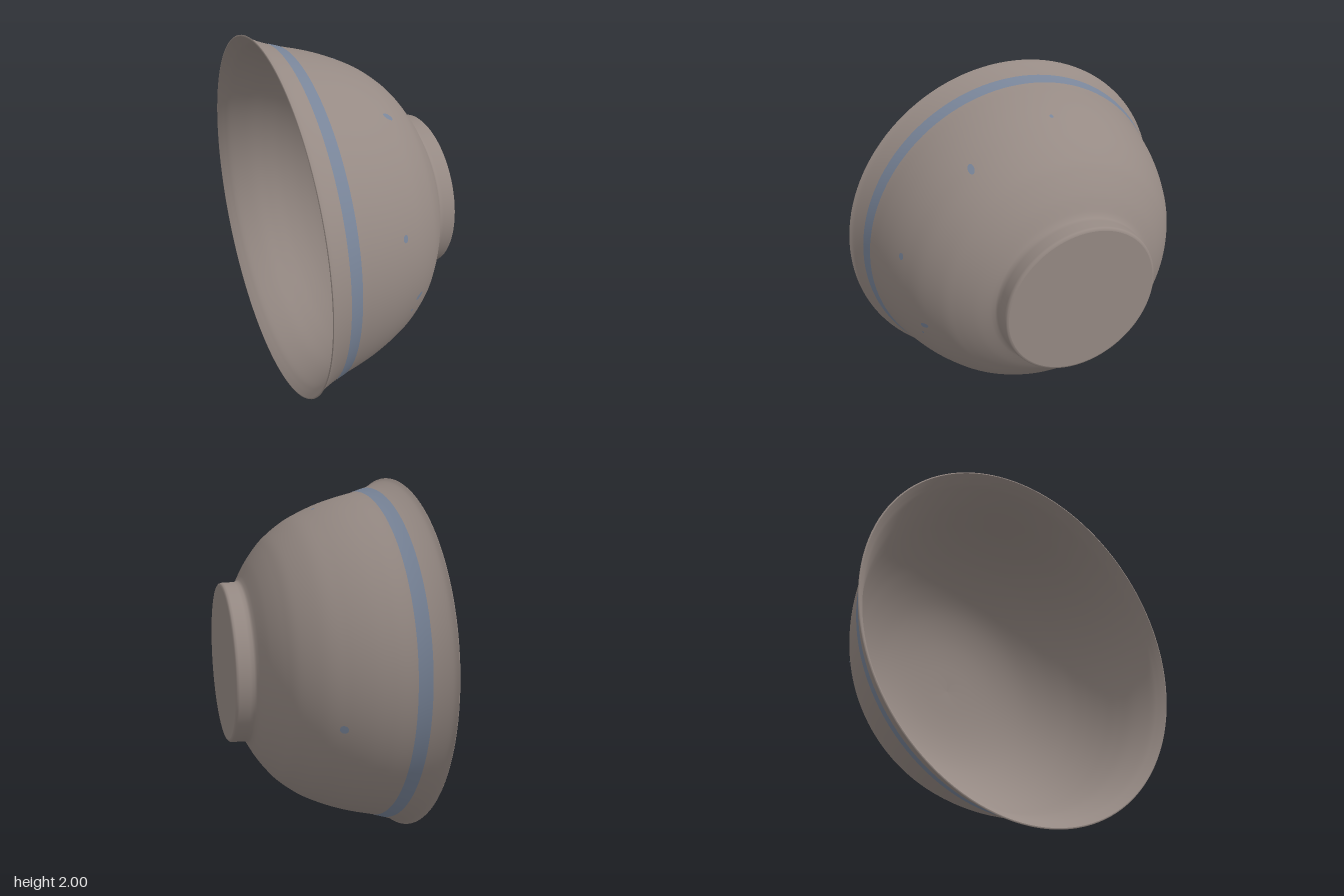
import * as THREE from 'three';

const SEGMENTS = 128;

// Profiles are listed as [radius, position along the bowl axis].
const outerPoints = [
  [1.0, -0.473], [0.984, -0.452], [0.964, -0.41], [0.945, -0.36], [0.926, -0.3], [0.9, -0.2],
  [0.868, -0.1], [0.826, 0], [0.773, 0.1], [0.696, 0.2], [0.63, 0.26], [0.553, 0.315], [0.478, 0.357],
];
const footPoints = [
  [0.478, 0.357], [0.458, 0.368], [0.449, 0.38], [0.446, 0.4], [0.445, 0.457],
  [0.442, 0.468], [0.436, 0.474], [0.428, 0.476],
];
const innerPoints = [
  [0, 0.385], [0.2, 0.374], [0.36, 0.345], [0.5, 0.29], [0.62, 0.205], [0.72, 0.1], [0.787, 0],
  [0.835, -0.1], [0.87, -0.2], [0.902, -0.3], [0.943, -0.4], [0.968, -0.442], [0.993, -0.476],
];

const toVectors = (points) => points.map(([r, a]) => new THREE.Vector2(r, a));
const smooth = (points, n) => new THREE.SplineCurve(toVectors(points)).getPoints(n);
const outerCurve = smooth(outerPoints, 96);

// Outer radius at a position along the axis
function radiusAt(a) {
  const i = Math.max(1, outerCurve.findIndex((p) => p.y >= a));
  const p = outerCurve[i - 1], q = outerCurve[i];
  return THREE.MathUtils.lerp(p.x, q.x, (a - p.y) / (q.y - p.y));
}

// Revolve a profile around the x axis
function revolve(name, points, material) {
  const geometry = new THREE.LatheGeometry(points, SEGMENTS);
  geometry.rotateZ(-Math.PI / 2);
  const mesh = new THREE.Mesh(geometry, material);
  mesh.name = name;
  return mesh;
}

// Small elliptical paint fleck wrapped onto the outer wall
function fleck(axis, degrees, width, height, tilt, material) {
  const geometry = new THREE.CircleGeometry(1, 14);
  geometry.scale(width / 2, height / 2, 1);
  geometry.rotateZ(tilt);
  const pos = geometry.attributes.position;
  for (let i = 0; i < pos.count; i++) {
    const a = axis + pos.getX(i);
    const r = radiusAt(a) + 0.003;
    const angle = THREE.MathUtils.degToRad(degrees) + pos.getY(i) / r;
    pos.setXYZ(i, a, r * Math.sin(angle), r * Math.cos(angle));
  }
  geometry.computeVertexNormals();
  const mesh = new THREE.Mesh(geometry, material);
  mesh.name = 'paintFleck';
  return mesh;
}

export function createModel() {
  const clay = new THREE.MeshStandardMaterial({ color: 0x968a84 });
  clay.name = 'warm grey glaze';
  const blue = new THREE.MeshStandardMaterial({ color: 0x788498 });
  blue.name = 'muted blue paint';

  const bowl = new THREE.Group();
  bowl.name = 'bowl';

  // Outer wall running into the foot ring
  bowl.add(revolve('outerWall', [...outerCurve, ...toVectors(footPoints).slice(1)], clay));
  // Flat underside of the foot
  bowl.add(revolve('footBase', toVectors([[0.428, 0.476], [0, 0.476]]), clay));
  // Hollow inside and the thin lip joining it to the outer wall
  bowl.add(revolve('innerWall', smooth(innerPoints, 72), clay));
  bowl.add(revolve('lip', toVectors([[0.993, -0.476], [0.998, -0.476], [1.0, -0.473]]), clay));

  // Painted stripe below the rim
  const stripe = [];
  for (let i = 0; i <= 8; i++) {
    const a = -0.365 + (0.065 * i) / 8;
    stripe.push(new THREE.Vector2(radiusAt(a) + 0.002, a));
  }
  bowl.add(revolve('stripe', stripe, blue));

  // Stray flecks: axis position, angle around from the front, size, tilt
  const flecks = [
    [-0.03, 15.4, 0.03, 0.04, 0],
    [0.09, -12.5, 0.05, 0.034, 0.3],
    [0.05, -17.7, 0.014, 0.016, 0],
    [0.05, 58, 0.056, 0.034, -0.4],
    [-0.03, 94, 0.022, 0.02, 0],
    [0.02, 191, 0.04, 0.042, 0],
  ];
  for (const f of flecks) bowl.add(fleck(...f, blue));

  // Rest the bowl on its side with the rim touching the ground
  bowl.position.y = 1;
  const model = new THREE.Group();
  model.name = 'model';
  model.add(bowl);
  return model;
}
